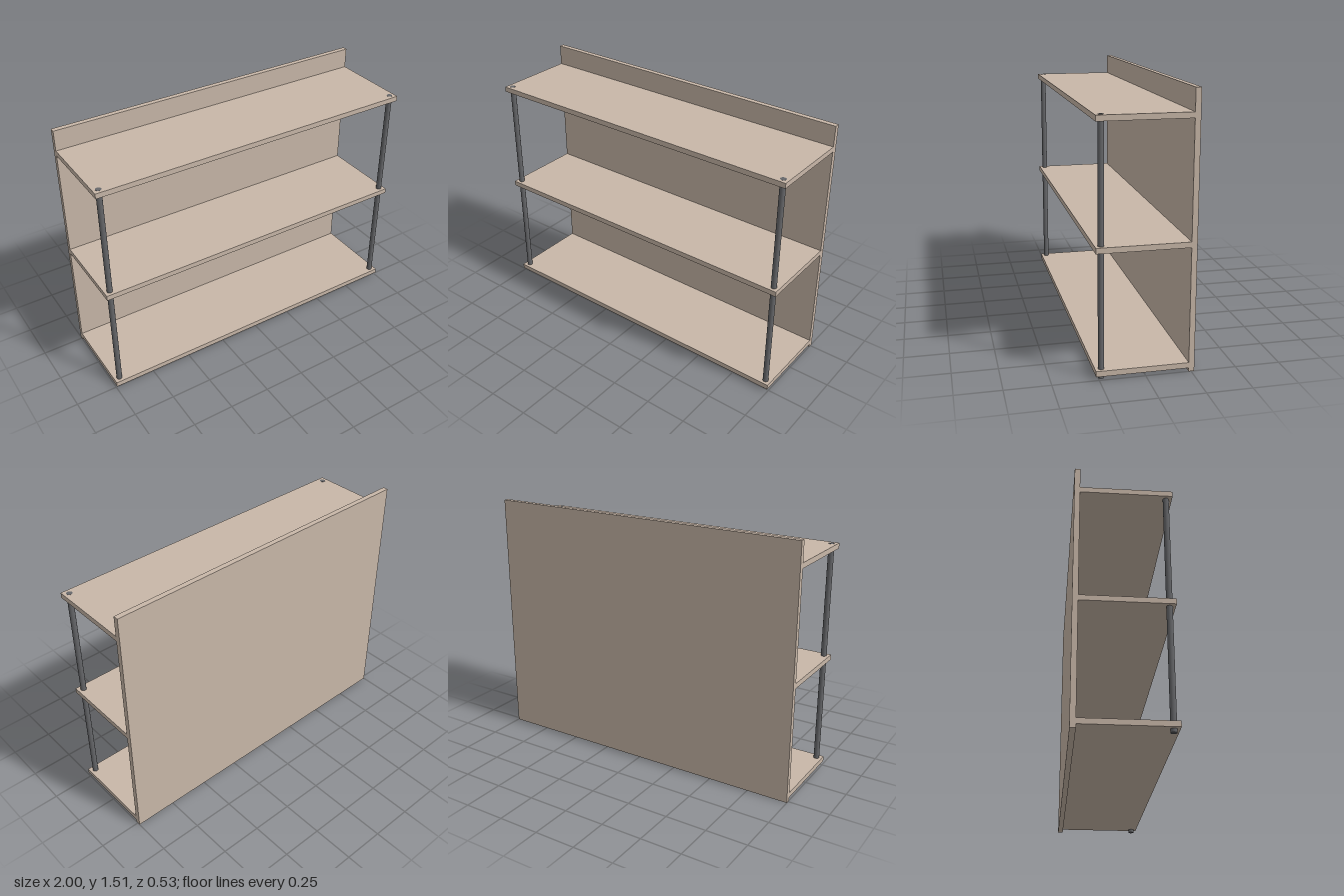
import * as THREE from 'three';

export function createModel() {
  const group = new THREE.Group();
  const wood = new THREE.MeshStandardMaterial({ color: 0xc8b7a8 });
  const metal = new THREE.MeshStandardMaterial({ color: 0x66676a });

  const add = (name, geometry, material, x, y, z) => {
    const mesh = new THREE.Mesh(geometry, material);
    mesh.name = name;
    mesh.position.set(x, y, z);
    group.add(mesh);
  };

  const width = 2, height = 1.513, depth = 0.534, board = 0.031;
  const back = -depth / 2;

  // Full-height back panel
  add('backPanel', new THREE.BoxGeometry(width, height, board), wood, 0, height / 2, back + board / 2);

  // Three shelves reaching forward from the panel
  const shelfGeometry = new THREE.BoxGeometry(width, board, depth - board);
  const shelfBottoms = { bottomShelf: 0.02, middleShelf: 0.69, topShelf: 1.36 };
  for (const [name, y] of Object.entries(shelfBottoms)) {
    add(name, shelfGeometry, wood, 0, y + board / 2, board / 2);
  }

  // Round front posts through all shelves, showing just above the top one
  const postHeight = 1.392;
  const postGeometry = new THREE.CylinderGeometry(0.0165, 0.0165, postHeight, 32);
  for (const side of [-1, 1]) {
    add(side > 0 ? 'leftPost' : 'rightPost', postGeometry, metal, side * 0.967, postHeight / 2, 0.234);
  }

  return group;
}
